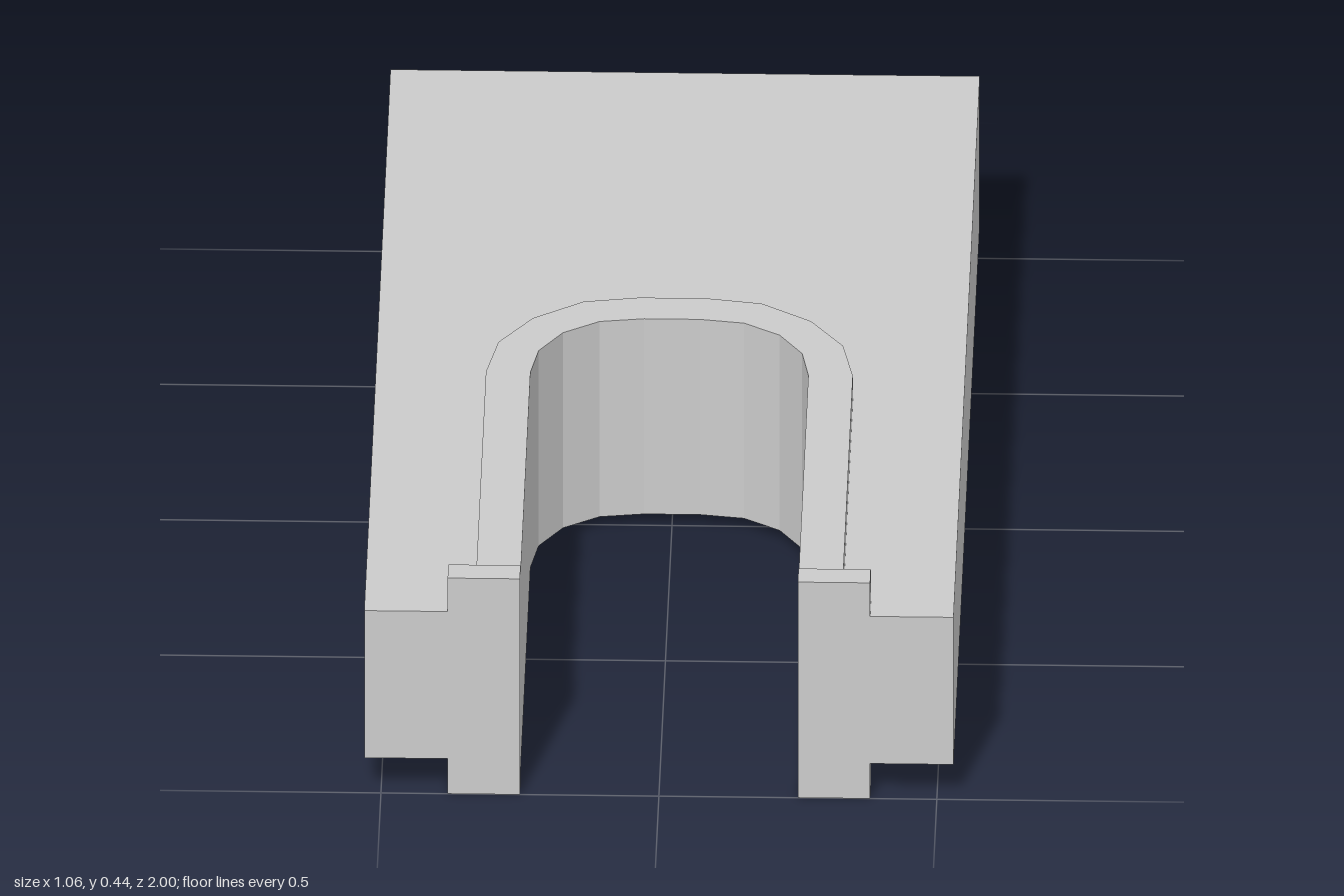
import * as THREE from 'three';

const material = new THREE.MeshStandardMaterial({ color: 0xcccccc, flatShading: true });

// Right half of the arch curves as [x, z], from the open front to the crown
const INNER = [[0.25, 1], [0.25, 0.2], [0.237, 0.12], [0.195, 0.053], [0.13, 0.01], [0.05, -0.002]];
const OUTER = [[0.33, 1], [0.33, 0.2], [0.31, 0.09], [0.25, 0], [0.16, -0.063], [0.06, -0.08]];

// Complete a half curve by mirroring it across x = 0
const arch = (half) => [...half, ...half.map(([x, z]) => [-x, z]).reverse()];

// Extrude a plan outline of [x, z] points from height y0 to y1
function planSlab(name, points, y0, y1) {
  const shape = new THREE.Shape(points.map(([x, z]) => new THREE.Vector2(x, -z)));
  const geometry = new THREE.ExtrudeGeometry(shape, { depth: y1 - y0, bevelEnabled: false });
  geometry.rotateX(-Math.PI / 2).translate(0, y0, 0);
  const mesh = new THREE.Mesh(geometry, material);
  mesh.name = name;
  return mesh;
}

// L-shaped lip wrapping the end of a rim; side and up are +1 or -1
function endLip(name, side, up) {
  const profile = [[0.25, 0.2], [0.25, 0.222], [0.38, 0.222], [0.38, 0.15], [0.33, 0.15], [0.33, 0.2]];
  const shape = new THREE.Shape(profile.map(([x, y]) => new THREE.Vector2(x * side, 0.222 + y * up)));
  const geometry = new THREE.ExtrudeGeometry(shape, { depth: 0.05, bevelEnabled: false });
  geometry.translate(0, 0, 0.95);
  const mesh = new THREE.Mesh(geometry, material);
  mesh.name = name;
  return mesh;
}

export function createModel() {
  const model = new THREE.Group();
  model.name = 'slottedBlock';

  // Block with an arched slot open to the front
  const body = [[0.53, 1], [0.53, -1], [-0.53, -1], [-0.53, 1], ...arch(INNER).reverse()];
  model.add(planSlab('body', body, 0.072, 0.375));

  // Raised rims around the slot, above and below
  const rim = [...arch(OUTER), ...arch(INNER).reverse()];
  model.add(planSlab('topRim', rim, 0.375, 0.424));
  model.add(planSlab('bottomRim', rim, 0.022, 0.072));

  // Lips at the four rim ends
  for (const side of [1, -1]) {
    for (const up of [1, -1]) {
      model.add(endLip(`${side > 0 ? 'left' : 'right'}${up > 0 ? 'Top' : 'Bottom'}Lip`, side, up));
    }
  }
  return model;
}
